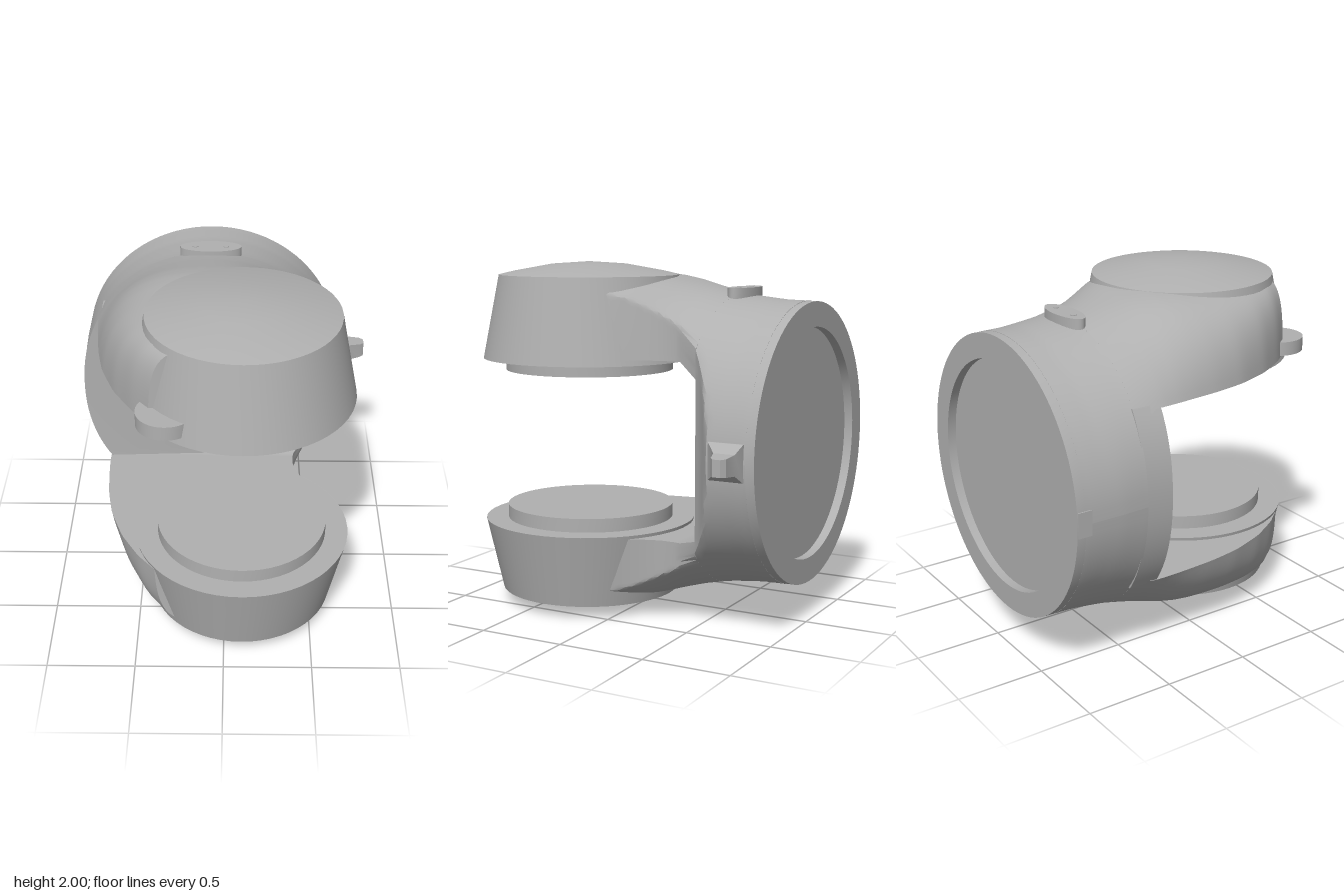
import * as THREE from 'three';
import { toCreasedNormals } from 'three/addons/utils/BufferGeometryUtils.js';

const MID = 1.005; // height of the mirror plane between the two arms
const mirrorY = (y) => 2 * MID - y;

// Orients a closed geometry outwards and gives it creased normals
function solid(geo, crease = 0.5) {
  const g = geo.index ? geo.toNonIndexed() : geo;
  g.deleteAttribute('uv');
  const p = g.attributes.position;
  const v = [0, 1, 2].map(() => new THREE.Vector3());
  let volume = 0;
  for (let i = 0; i < p.count; i += 3) {
    v.forEach((q, k) => q.fromBufferAttribute(p, i + k));
    volume += v[0].dot(v[1].clone().cross(v[2]));
  }
  if (volume < 0) {
    for (let i = 0; i < p.count; i += 3) {
      v.forEach((q, k) => q.fromBufferAttribute(p, i + k));
      p.setXYZ(i + 1, v[2].x, v[2].y, v[2].z);
      p.setXYZ(i + 2, v[1].x, v[1].y, v[1].z);
    }
  }
  g.computeVertexNormals();
  return toCreasedNormals(g, crease);
}

// Skins a list of closed loops and caps both ends
function loft(loops) {
  const n = loops[0].length;
  const pos = loops.flat(2);
  const index = [];
  for (let s = 0; s < loops.length - 1; s++) {
    for (let i = 0; i < n; i++) {
      const a = s * n + i, b = s * n + (i + 1) % n;
      index.push(a, b, b + n, a, b + n, a + n);
    }
  }
  [0, loops.length - 1].forEach((s, end) => {
    const c = pos.length / 3;
    for (let k = 0; k < 3; k++) pos.push(loops[s].reduce((t, q) => t + q[k], 0) / n);
    for (let i = 0; i < n; i++) {
      const a = s * n + i, b = s * n + (i + 1) % n;
      index.push(...(end ? [c, a, b] : [c, b, a]));
    }
  });
  const g = new THREE.BufferGeometry();
  g.setAttribute('position', new THREE.Float32BufferAttribute(pos, 3));
  g.setIndex(index);
  return solid(g);
}

// Housing stations: z, centre x, left edge x, top y, roundness, neck x, neck slope
const STATIONS = [
  [-0.93, -0.09, -0.88, 1.797, 2, 0.95, 0],
  [-0.80, -0.09, -0.88, 1.80, 2, 0.80, 0],
  [-0.70, -0.09, -0.88, 1.81, 2.02, 0.69, 0],
  [-0.60, -0.09, -0.875, 1.82, 2.07, 0.55, 0],
  [-0.50, -0.09, -0.87, 1.835, 2.13, 0.46, 0.01],
  [-0.40, -0.09, -0.86, 1.86, 2.2, 0.425, 0.02],
  [-0.30, -0.08, -0.825, 1.885, 2.4, 0.425, 0.04],
  [-0.20, -0.06, -0.79, 1.91, 2.7, 0.46, 0.08],
  [-0.10, -0.03, -0.765, 1.928, 3.0, 0.51, 0.11],
  [0.00, 0.00, -0.745, 1.935, 3.3, 0.57, 0.15],
  [0.20, 0.06, -0.695, 1.935, 4, 0.63, 0.2],
  [0.42, 0.10, -0.605, 1.933, 5, 0.65, 0.22],
  [0.60, 0.10, -0.495, 1.93, 6, 0.60, 0.24],
  [0.72, 0.10, -0.395, 1.925, 6, 0.50, 0.3],
];

function station(z) {
  let i = 0;
  while (i < STATIONS.length - 2 && STATIONS[i + 1][0] < z) i++;
  const a = STATIONS[i], b = STATIONS[i + 1];
  const t = (z - a[0]) / (b[0] - a[0]);
  return a.map((v, k) => v + (b[k] - v) * t);
}

// Upper half of the housing cross-section at z, above height base
function section(z, base, flip) {
  const [, cx, xl, top, n, neck, slope] = station(z);
  const a = cx - xl, b = top - MID, N = 44;
  const start = Math.asin(Math.pow(Math.max(0, base - MID) / b, n / 2));
  const loop = [];
  for (let i = 0; i <= N; i++) {
    const th = start + (Math.PI - 2 * start) * i / N;
    const c = Math.cos(th);
    const y = MID + b * Math.pow(Math.max(0, Math.sin(th)), 2 / n);
    const x = cx + a * Math.sign(c) * Math.pow(Math.abs(c), 2 / n);
    loop.push([Math.min(x, neck - slope * Math.max(0, y - 1.45)), flip ? mirrorY(y) : y, z]);
  }
  return loop;
}

export function createModel() {
  const group = new THREE.Group();
  const grey = new THREE.MeshStandardMaterial({ color: 0xb0b0b0 });
  grey.name = 'grey';
  const add = (name, geo, x = 0, y = 0, z = 0) => {
    const m = new THREE.Mesh(geo, grey);
    m.name = name;
    m.position.set(x, y, z);
    group.add(m);
    return m;
  };

  // Two housing halves: rear tube flowing into an arm, with a joint drum at the end
  const halves = [
    { name: 'upper', flip: false, corner: 1.40, ledge: 1.48, rim: 1.45, pad: 1.38 },
    { name: 'lower', flip: true, corner: 1.49, ledge: 1.53, rim: 1.508, pad: 1.43 },
  ];
  for (const h of halves) {
    const loops = [];
    for (let i = 0; i <= 12; i++) loops.push(section(-0.93 + 0.38 * i / 12, MID, h.flip));
    loops.push(section(-0.55, h.corner, h.flip));
    for (let i = 0; i <= 32; i++) loops.push(section(-0.42 + 1.14 * i / 32, h.ledge, h.flip));
    add(h.name + 'Arm', loft(loops));

    const profile = [
      [0, h.pad], [0.49, h.pad], [0.49, h.rim], [0.62, h.rim],
      [0.525, 1.93], [0.44, 1.95], [0.22, 1.99], [0, 2.005],
    ].map(([r, y]) => new THREE.Vector2(r, h.flip ? mirrorY(y) - 0.003 : y - 0.003));
    add(h.name + 'JointDrum', solid(new THREE.LatheGeometry(profile, 56), 0.3), 0.1, 0, 0.35);
  }

  // Wall between the arms, following the round left side
  const wall = [];
  for (let i = 0; i <= 20; i++) {
    const y = 0.47 + 1.03 * i / 20;
    const [, cx, xl, top, n] = station(-0.45);
    const k = Math.pow(Math.abs(y - MID) / (top - MID), n);
    const left = cx - (cx - xl) * Math.pow(1 - k, 1 / n);
    wall.push([[0.49, y, -0.56], [0.28, y, -0.44], [left, y, -0.39], [left, y, -0.56]]);
  }
  add('slotWall', loft(wall));

  // Rounded cover plate on the wall
  const w = 0.355, hgt = 0.36, r = 0.07;
  const plate = new THREE.Shape();
  plate.moveTo(-w + r, -hgt);
  plate.lineTo(w - r, -hgt + 0.01);
  plate.quadraticCurveTo(w - 0.02, -hgt + 0.01, w - 0.02, -hgt + r);
  plate.quadraticCurveTo(w + 0.02, 0, w - 0.02, hgt - r);
  plate.quadraticCurveTo(w - 0.02, hgt - 0.01, w - r, hgt - 0.01);
  plate.quadraticCurveTo(0, hgt + 0.015, -w + r, hgt - 0.01);
  plate.quadraticCurveTo(-w + 0.02, hgt - 0.01, -w + 0.02, hgt - r);
  plate.quadraticCurveTo(-w - 0.01, 0, -w + 0.02, -hgt + r);
  plate.quadraticCurveTo(-w + 0.02, -hgt, -w + r, -hgt);
  const cover = add('coverPlate',
    solid(new THREE.ExtrudeGeometry(plate, { depth: 0.03, bevelEnabled: false })), -0.265, 1.01, -0.43);
  cover.rotation.y = 0.043;

  // Mounting ring around the recessed back face
  const ring = new THREE.Shape().absarc(0, 0, 0.79, 0, Math.PI * 2);
  ring.holes.push(new THREE.Path().absarc(0, 0, 0.65, 0, Math.PI * 2, true));
  add('mountingRing',
    solid(new THREE.ExtrudeGeometry(ring, { depth: 0.05, bevelEnabled: false, curveSegments: 44 })),
    -0.09, MID, -0.98);

  // Flared cable stub on the side
  const stub = [[0.64, 0.1, -0.92, -0.72], [0.70, 0.1, -0.92, -0.72], [0.76, 0.055, -0.9, -0.78],
    [0.85, 0.047, -0.895, -0.81], [0.875, 0.045, -0.875, -0.83]];
  add('cableStub', loft(stub.map(([x, d, z0, z1]) => [
    [x, 1.01 - d, z0], [x, 1.01 + d, z0], [x, 1.01 + d, z1], [x, 1.01 - d, z1]])));

  // Oval button with two pins on the top
  const oval = new THREE.CylinderGeometry(1, 1, 0.09, 40);
  oval.scale(0.18, 1, 0.07);
  add('ovalButton', solid(oval), -0.09, 1.82, -0.56);
  for (const x of [-0.18, 0]) {
    add('buttonPin', solid(new THREE.CylinderGeometry(0.017, 0.017, 0.006, 16)), x, 1.866, -0.56);
  }

  // Round tab at the front of the upper arm, and the index tab on the tube
  add('roundTab', solid(new THREE.CylinderGeometry(0.16, 0.16, 0.08, 36)), -0.3, 1.53, 0.74);
  add('indexTab', solid(new THREE.BoxGeometry(0.03, 0.14, 0.08)), -0.868, 1.01, -0.935);

  return group;
}
